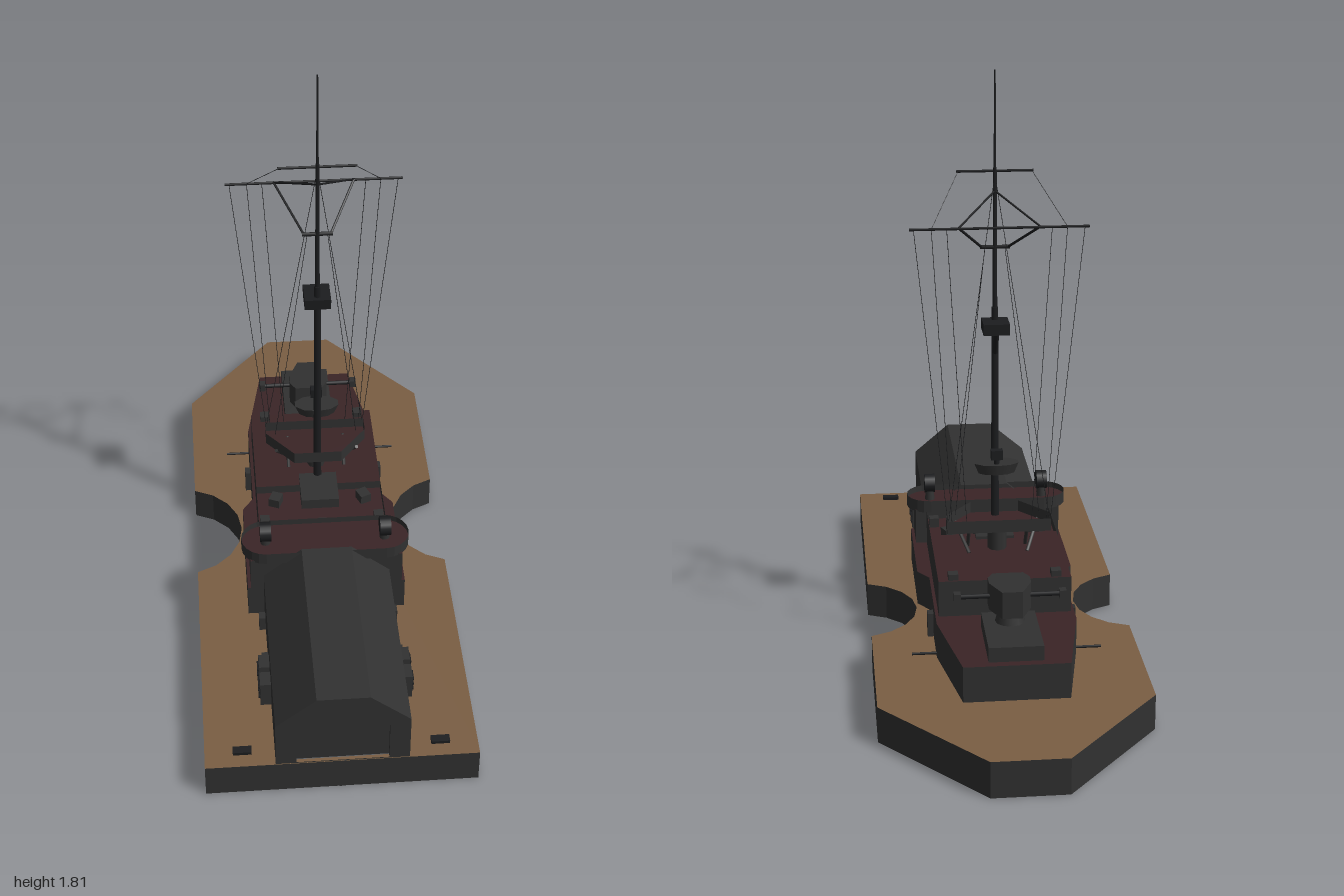
import * as THREE from 'three';

const material = (name, color) => {
  const m = new THREE.MeshStandardMaterial({ color, side: THREE.DoubleSide });
  m.name = name;
  return m;
};

export function createModel() {
  const root = new THREE.Group();
  root.name = 'warshipSection';
  const grey = material('dark grey steel', 0x313131);
  const teak = material('wooden deck', 0x7a5e43);
  const red = material('dark red deck', 0x3a2426);
  const black = material('mast black', 0x1c1d1f);

  const add = (name, geo, mat, x = 0, y = 0, z = 0, parent = root) => {
    const m = new THREE.Mesh(geo, mat);
    m.name = name;
    m.position.set(x, y, z);
    parent.add(m);
    return m;
  };
  const box = (name, mat, w, h, d, x, y, z) => add(name, new THREE.BoxGeometry(w, h, d), mat, x, y, z);
  const cyl = (name, mat, rt, rb, h, x, y, z, n = 12) => add(name, new THREE.CylinderGeometry(rt, rb, h, n), mat, x, y, z);
  const rod = (name, a, b, r, mat = black, r2 = r) => {
    const p = new THREE.Vector3(...a), q = new THREE.Vector3(...b), d = q.clone().sub(p);
    const m = add(name, new THREE.CylinderGeometry(r2, r, d.length(), 6), mat);
    m.position.copy(p).add(q).multiplyScalar(0.5);
    m.quaternion.setFromUnitVectors(new THREE.Vector3(0, 1, 0), d.normalize());
  };
  // Full outline in x, z from its +x half
  const mirror = half => [...half, ...half.map(([x, z]) => [-x, z]).reverse()];
  // Flat-shaded upright band along an outline
  const band = (pts, y0, y1, closed = true) => {
    const v = [];
    for (let i = 0; i < pts.length - (closed ? 0 : 1); i++) {
      const [ax, az] = pts[i], [bx, bz] = pts[(i + 1) % pts.length];
      v.push(ax, y0, az, ax, y1, az, bx, y1, bz, ax, y0, az, bx, y1, bz, bx, y0, bz);
    }
    const g = new THREE.BufferGeometry();
    g.setAttribute('position', new THREE.Float32BufferAttribute(v, 3));
    g.computeVertexNormals();
    return g;
  };
  const shapeOf = (pts, s = 1) => new THREE.Shape(pts.map(([x, z]) => new THREE.Vector2(x, s * z)));
  const flat = (pts, hole) => {
    const s = shapeOf(pts, -1);
    if (hole) s.holes.push(shapeOf(hole, -1));
    return new THREE.ShapeGeometry(s).rotateX(-Math.PI / 2);
  };
  // Walls with a deck on them; the deck may sit below the wall tops
  const house = (name, pts, y0, y1, topMat, deckY = y1, hole) => {
    const g = new THREE.Group();
    g.name = name;
    root.add(g);
    add(name + 'Walls', band(pts, y0, y1), grey, 0, 0, 0, g);
    add(name + 'Deck', flat(pts, hole), topMat, 0, deckY, 0, g);
  };

  // Hull, hollow below, with a round bay in each side
  const bay = [];
  for (let i = 0; i <= 8; i++) {
    const a = (-75 + i * 18.75) * Math.PI / 180;
    bay.push([0.4517 - 0.2017 * Math.cos(a), 0.2017 * Math.sin(a)]);
  }
  const hull = mirror([[0.11, -1], [0.4, -0.66], ...bay, [0.4, 1]]);
  const lower = [[0.155, -0.655], [0.21, -0.36], [0.21, -0.02], [0.245, 0.03], [0.245, 0.39]];
  house('hull', hull, 0, 0.11, teak, 0.11, mirror([...lower, [0.195, 0.39], [0.195, 0.985]]));
  box('bowPost', grey, 0.02, 0.11, 0.01, 0, 0.055, 0.996);
  for (const z of [0.5, 0.72, 0.9]) rod('underdeckBeam', [-0.27, 0.09, z], [0.27, 0.09, z], 0.008);

  // Stepped deckhouses
  house('lowerHouse', mirror(lower), 0.11, 0.22, red);
  house('upperHouse', mirror([[0.2, -0.31], [0.2, 0.05]]), 0.22, 0.333, red);
  house('midHouse', mirror([[0.2, 0.05], [0.2, 0.26]]), 0.22, 0.333, red, 0.305);
  house('bridgeBlock', mirror([[0.235, 0.265], [0.235, 0.39]]), 0.22, 0.335, red);

  // Bridge wings with rounded ends
  const wing = [];
  for (let i = 0; i <= 10; i++) {
    const a = -Math.PI / 2 + i * Math.PI / 10;
    wing.push([0.185 + 0.075 * Math.cos(a), 0.325 + 0.075 * Math.sin(a)]);
  }
  house('bridgeWings', mirror(wing), 0.33, 0.37, red, 0.35);

  // Arched hangar with a recessed door
  const arch = [[-0.195, 0.11], [-0.195, 0.27], [-0.077, 0.37], [0.077, 0.37], [0.195, 0.27], [0.195, 0.11]];
  const door = [[-0.135, 0.113], [-0.135, 0.25], [-0.07, 0.325], [0.07, 0.325], [0.135, 0.25], [0.135, 0.113]];
  const alongZ = (pts, z0, z1) => band(pts.map(([x, y]) => [x, -y]), z0, z1, false).rotateX(Math.PI / 2);
  add('hangarShell', alongZ(arch, 0.385, 0.998), grey);
  const face = shapeOf(arch);
  face.holes.push(shapeOf(door));
  add('hangarFront', new THREE.ShapeGeometry(face), grey, 0, 0, 0.998);
  add('doorFrame', alongZ(door, 0.985, 0.998), grey);
  add('hangarDoor', new THREE.ShapeGeometry(shapeOf(door)), grey, 0, 0, 0.985);

  for (const s of [-1, 1]) {
    // Lockers, vents and deck fittings
    for (const z of [0.675, 0.745]) {
      box('sideLocker', grey, 0.032, 0.085, 0.052, s * 0.211, 0.153, z);
      for (const y of [0.135, 0.155, 0.175]) box('lockerSlat', black, 0.006, 0.006, 0.036, s * 0.229, y, z);
    }
    for (const z of [0.45, 0.62]) box('sideVent', grey, 0.02, 0.05, 0.028, s * 0.205, 0.135, z);
    box('deckHatch', black, 0.055, 0.012, 0.025, s * 0.29, 0.114, 0.945);
    box('roofLocker', grey, 0.03, 0.02, 0.03, s * 0.155, 0.342, -0.29);
    box('wingLocker', grey, 0.03, 0.03, 0.03, s * 0.18, 0.32, 0.2);
    box('angledLocker', grey, 0.035, 0.03, 0.04, s * 0.14, 0.32, 0.1).rotation.y = s * 0.4;
    box('sideStep', grey, 0.02, 0.075, 0.03, s * 0.218, 0.148, -0.2);
    rod('sideBoom', [s * 0.205, 0.125, -0.36], [s * 0.285, 0.125, -0.36], 0.004);

    // Searchlights
    cyl('searchlightStand', grey, 0.012, 0.016, 0.04, s * 0.185, 0.37, 0.325);
    add('searchlight', new THREE.CylinderGeometry(0.03, 0.03, 0.034, 16).rotateZ(Math.PI / 2), black, s * 0.185, 0.402, 0.333);

    // Rangefinder arms
    rod('rangefinderArm', [s * 0.05, 0.345, -0.45], [s * 0.165, 0.345, -0.45], 0.007);
    box('rangefinderLens', grey, 0.02, 0.025, 0.025, s * 0.155, 0.345, -0.45);
  }
  box('midLocker', grey, 0.025, 0.035, 0.03, 0, 0.322, 0.23);
  box('chartTable', grey, 0.12, 0.035, 0.13, 0, 0.325, 0.07);

  // Director on the aft deckhouse
  box('directorBase', grey, 0.16, 0.045, 0.24, 0, 0.2425, -0.51);
  cyl('directorPedestal', grey, 0.035, 0.045, 0.04, 0, 0.284, -0.45);
  house('directorHousing', mirror([[0.03, -0.52], [0.062, -0.45], [0.062, -0.41], [0.045, -0.38]]), 0.302, 0.385, grey);
  add('directorFloor', flat(mirror([[0.03, -0.52], [0.062, -0.45], [0.062, -0.41], [0.045, -0.38]])), grey, 0, 0.302, 0);

  // Lookout platform on braced legs
  house('lookoutPlatform', mirror([[0.16, -0.13], [0.16, -0.075], [0.075, 0.03]]), 0.41, 0.45, red, 0.415);
  for (const s of [-1, 1]) {
    rod('platformLeg', [s * 0.09, 0.333, -0.04], [s * 0.09, 0.415, -0.1], 0.006, grey);
    rod('platformBrace', [s * 0.09, 0.333, -0.1], [s * 0.13, 0.415, -0.03], 0.006, grey);
  }
  cyl('platformTrunk', grey, 0.03, 0.03, 0.08, 0, 0.373, -0.06, 8);

  // Mast in three stages, with its tops
  const mz = 0.008;
  rod('lowerMast', [0, 0.31, mz], [0, 1.09, mz], 0.014, black, 0.011);
  rod('topMast', [0, 1.08, mz], [0, 1.52, mz], 0.008, black, 0.006);
  rod('mastPole', [0, 1.5, mz], [0, 1.81, mz], 0.0045, black, 0.0025);
  cyl('lampPlatform', grey, 0.072, 0.058, 0.033, 0, 0.588, -0.03, 10).scale.z = 0.55;
  cyl('lampStand', black, 0.008, 0.008, 0.03, 0, 0.615, -0.048, 8);
  box('signalLamp', black, 0.036, 0.03, 0.025, 0, 0.636, -0.05);
  box('upperTop', black, 0.08, 0.034, 0.085, 0, 1.035, -0.012);
  rod('topBracket', [0, 0.95, -0.002], [0, 1.02, -0.04], 0.009);

  // Yards and struts
  rod('upperYard', [-0.115, 1.51, mz], [0.115, 1.51, mz], 0.004);
  rod('lowerYard', [-0.265, 1.37, -0.135], [0.265, 1.37, -0.135], 0.004);
  rod('spreader', [-0.045, 1.278, mz], [0.045, 1.278, mz], 0.006);
  for (const s of [-1, 1]) {
    rod('yardStrut', [s * 0.04, 1.278, mz], [s * 0.12, 1.372, -0.135], 0.004);
    rod('yardStay', [0, 1.45, mz], [s * 0.12, 1.372, -0.135], 0.003);

    // Rigging lines
    const line = (a, b) => rod('riggingLine', a, b, 0.0009);
    line([s * 0.11, 1.51, mz], [s * 0.2, 1.37, -0.135]);
    line([0, 1.5, mz], [s * 0.155, 0.45, -0.125]);
    line([s * 0.03, 1.278, mz], [s * 0.13, 0.45, -0.07]);
    for (const [a, b] of [[0.252, 0.158], [0.2, 0.145], [0.155, 0.1]])
      line([s * a, 1.37, -0.135], [s * b, 0.45, -0.13]);
  }
  return root;
}
